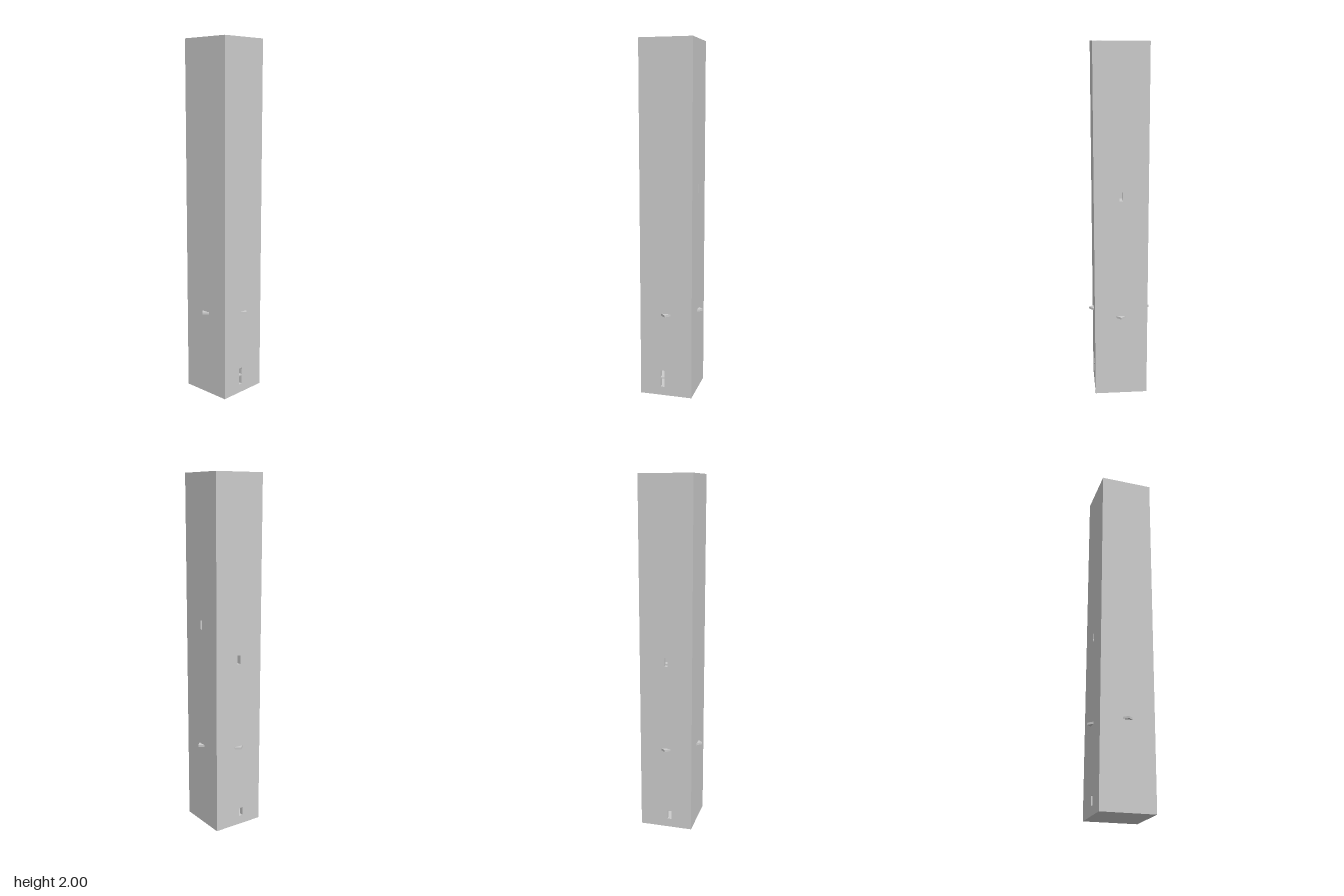
import * as THREE from 'three';

const HALF = 0.15, HEIGHT = 2, WALL = 0.024, INNER = HALF - WALL;

function rect(Type, x0, y0, x1, y1) {
  const r = new Type();
  r.moveTo(x0, y0).lineTo(x1, y0).lineTo(x1, y1).lineTo(x0, y1).closePath();
  return r;
}

export function createModel() {
  const tower = new THREE.Group();
  tower.name = 'tower';
  const mat = new THREE.MeshStandardMaterial({ color: 0xcccccc, flatShading: true });

  const add = (parent, name, geo, x = 0, y = 0, z = 0) => {
    const mesh = new THREE.Mesh(geo, mat);
    mesh.name = name;
    mesh.position.set(x, y, z);
    parent.add(mesh);
    return mesh;
  };
  const box = (name, x0, x1, y0, y1, z0, z1) =>
    add(tower, name, new THREE.BoxGeometry(x1 - x0, y1 - y0, z1 - z0),
      (x0 + x1) / 2, (y0 + y1) / 2, (z0 + z1) / 2);

  // Wall panel with slots, its inner edges drawn in to mitre the corners
  function wallPanel(slots) {
    const shape = rect(THREE.Shape, -HALF, 0, HALF, HEIGHT);
    for (const [x, y0, y1, w] of slots) {
      shape.holes.push(rect(THREE.Path, x - w / 2, y0, x + w / 2, y1));
    }
    const geo = new THREE.ExtrudeGeometry(shape, { depth: WALL, bevelEnabled: false });
    const p = geo.attributes.position;
    for (let i = 0; i < p.count; i++) {
      if (p.getZ(i) < WALL / 2 && Math.abs(p.getX(i)) > HALF - 0.001) {
        p.setX(i, Math.sign(p.getX(i)) * INNER);
      }
    }
    geo.translate(0, 0, INNER);
    geo.computeVertexNormals();
    return geo;
  }

  // Four sides: each slot is [x, bottom, top, width] seen from outside
  const sides = [
    ['front', [[-0.02, 0.05, 0.10, 0.024], [-0.02, 0.107, 0.148, 0.024]]],
    ['left', [[0, 1.16, 1.21, 0.018]]],
    ['back', [[0.02, 0.05, 0.10, 0.024], [0, 0.97, 1.02, 0.018]]],
    ['right', []],
  ];
  sides.forEach(([name, slots], i) => {
    const side = new THREE.Group();
    side.name = name + 'Side';
    side.rotation.y = i * Math.PI / 2;
    add(side, name + 'Wall', wallPanel(slots));
    // Square ledge turned on its corner
    const ledge = add(side, name + 'Ledge', new THREE.BoxGeometry(0.038, 0.012, 0.038), 0, 0.481, HALF);
    ledge.rotation.y = Math.PI / 4;
    tower.add(side);
  });

  // Ground slab
  box('groundFloor', -INNER, INNER, 0, 0.03, -INNER, INNER);

  // Upper floor with a square stairwell
  const floor = rect(THREE.Shape, -INNER, -INNER, INNER, INNER);
  floor.holes.push(rect(THREE.Path, -0.065, -0.065, 0.065, 0.065));
  const floorGeo = new THREE.ExtrudeGeometry(floor, { depth: 0.03, bevelEnabled: false });
  floorGeo.rotateX(-Math.PI / 2);
  add(tower, 'upperFloor', floorGeo, 0, 1.08, 0);

  // Landings stepping down inside the stairwell
  const landings = [
    [-0.037, 0.065, 0.90, -0.065, -0.02],
    [-0.065, -0.023, 1.00, -0.02, 0.018],
    [-0.023, 0.065, 0.95, -0.02, 0.018],
    [-0.037, 0.065, 0.80, 0.018, 0.033],
    [-0.037, 0.065, 0.75, 0.033, 0.055],
    [-0.037, 0.065, 0.70, 0.055, 0.065],
    [-0.062, -0.037, 0.60, 0.027, 0.065],
    [-0.062, -0.037, 0.65, -0.03, -0.02],
  ];
  for (const [x0, x1, y, z0, z1] of landings) box('landing', x0, x1, y - 0.03, y, z0, z1);

  return tower;
}
